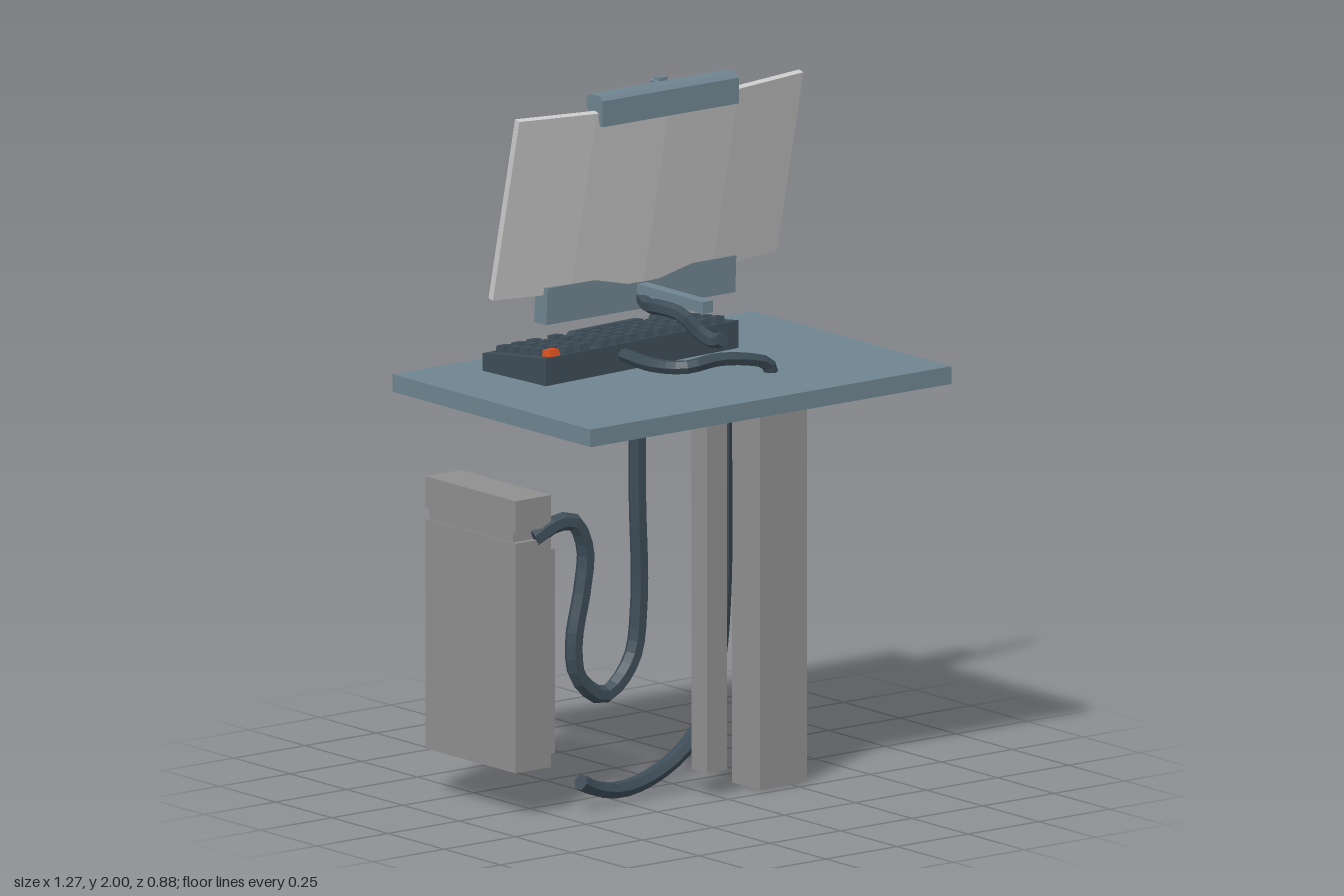
import * as THREE from 'three';

const mat = (color) => new THREE.MeshStandardMaterial({ color, flatShading: true });

export function createModel() {
  const root = new THREE.Group();
  const blue = mat(0x6f8490), dark = mat(0x3d4c57), grey = mat(0x8f8f8f), pale = mat(0xc8ccc8), orange = mat(0xd9501e);

  const add = (name, geometry, material, parent = root) => {
    const mesh = new THREE.Mesh(geometry, material);
    mesh.name = name;
    parent.add(mesh);
    return mesh;
  };
  const group = (name) => {
    const g = new THREE.Group();
    g.name = name;
    root.add(g);
    return g;
  };
  // box given by its limits on each axis
  const box = (name, [x0, x1], [y0, y1], [z0, z1], material, parent) => {
    const mesh = add(name, new THREE.BoxGeometry(x1 - x0, y1 - y0, z1 - z0), material, parent);
    mesh.position.set((x0 + x1) / 2, (y0 + y1) / 2, (z0 + z1) / 2);
    return mesh;
  };
  // (z, y) profile drawn out along x
  const prism = (name, profile, x0, x1, material, parent) => {
    const shape = new THREE.Shape(profile.map(([z, y]) => new THREE.Vector2(z, y)));
    const geo = new THREE.ExtrudeGeometry(shape, { depth: x1 - x0, bevelEnabled: false });
    geo.rotateY(-Math.PI / 2).translate(x1, 0, 0);
    return add(name, geo, material, parent);
  };
  // hexagonal cable with closed ends
  const cable = (name, points, radius, segments) => {
    const curve = new THREE.CatmullRomCurve3(points.map((p) => new THREE.Vector3(...p)));
    const g = group(name);
    add(name + 'Sleeve', new THREE.TubeGeometry(curve, segments, radius, 6), dark, g);
    [0, 1].forEach((t) => {
      const cap = add(name + 'End', new THREE.CircleGeometry(radius, 6), dark, g);
      cap.position.copy(curve.getPointAt(t));
      cap.lookAt(cap.position.clone().addScaledVector(curve.getTangentAt(t), t ? 1 : -1));
    });
  };

  // desk and its columns
  box('deskTop', [-0.635, 0.635], [1.12, 1.17], [-0.44, 0.44], blue);
  box('thickColumn', [0.14, 0.305], [0, 1.12], [0.09, 0.215], grey);
  box('thinColumn', [-0.035, 0.035], [0.07, 1.12], [0.13, 0.2], grey);

  // hanging computer tower
  const tower = group('tower');
  box('towerBody', [-0.615, -0.49], [0.13, 0.78], [-0.32, 0.08], grey, tower);
  box('towerGroove', [-0.612, -0.493], [0.775, 0.815], [-0.305, 0.065], grey, tower);
  box('towerCap', [-0.615, -0.49], [0.81, 0.9], [-0.32, 0.08], grey, tower);
  box('sidePanel', [-0.495, -0.455], [0.16, 0.74], [-0.305, 0.055], grey, tower);
  box('towerLight', [-0.576, -0.564], [0.63, 0.705], [-0.323, -0.315], orange, tower);

  // cables
  cable('towerCable', [[-0.19, 1.13, 0.085], [-0.185, 0.85, 0.08], [-0.172, 0.55, 0.07], [-0.2, 0.39, 0.07],
    [-0.3, 0.307, 0.075], [-0.39, 0.37, 0.075], [-0.405, 0.47, 0.075], [-0.375, 0.62, 0.075],
    [-0.365, 0.73, 0.075], [-0.405, 0.81, 0.075], [-0.46, 0.815, 0.07], [-0.54, 0.78, 0.065]], 0.026, 44);
  cable('floorCable', [[0.085, 1.13, 0.12], [0.087, 0.85, 0.12], [0.092, 0.55, 0.11], [0.08, 0.35, 0.1],
    [0.04, 0.2, 0.095], [-0.04, 0.11, 0.09], [-0.14, 0.055, 0.085], [-0.25, 0.035, 0.09],
    [-0.34, 0.05, 0.095], [-0.405, 0.08, 0.105]], 0.024, 32);
  cable('keyboardCable', [[-0.11, 1.215, -0.08], [-0.11, 1.21, 0.06], [-0.07, 1.215, 0.15], [0.03, 1.225, 0.165],
    [0.13, 1.215, 0.182], [0.19, 1.195, 0.185], [0.205, 1.165, 0.183]], 0.02, 20);
  cable('monitorCable', [[-0.03, 1.37, -0.1], [-0.07, 1.36, -0.01], [-0.1, 1.375, 0.07], [-0.08, 1.365, 0.14],
    [-0.045, 1.315, 0.18], [-0.025, 1.295, 0.215], [-0.02, 1.305, 0.25]], 0.022, 18);

  // keyboard: wedge case with key rows laid on its slope
  const keyboard = group('keyboard');
  keyboard.position.set(-0.048, 1.17, -0.212);
  keyboard.rotation.y = 0.063;
  prism('keyboardCase', [[-0.13, 0], [0.13, 0], [0.13, 0.078], [-0.13, 0.05]], -0.358, 0.358, dark, keyboard);
  const keys = new THREE.Group();
  keys.name = 'keys';
  keys.position.y = 0.064;
  keys.rotation.x = -0.107;
  keyboard.add(keys);
  const key = (x, z, w, material = dark) => {
    const geo = new THREE.CylinderGeometry(0.6, Math.SQRT1_2, 0.022, 4, 1).rotateY(Math.PI / 4);
    geo.scale(w, 1, 0.036);
    add('key', geo, material, keys).position.set(x, 0.008, z);
  };
  for (let row = 0; row < 5; row++) {
    const z = -0.087 + row * 0.048;
    for (let i = 0; i < 3; i++) key(-0.315 + i * 0.055, z, 0.037, row === 4 && i === 0 ? orange : dark);
    if (row === 0) {
      key(-0.125, z, 0.037);
      key(0.06, z, 0.29);
      key(0.275, z, 0.09);
    } else {
      for (let i = 0; i < 9; i++) key(-0.125 + i * 0.053, z, 0.037);
    }
  }

  // curved, tilted screen
  const screenGeo = new THREE.BoxGeometry(1, 0.54, 0.02, 4, 1, 1);
  const pos = screenGeo.attributes.position;
  for (let i = 0; i < pos.count; i++) pos.setZ(i, pos.getZ(i) - 0.16 * pos.getX(i) ** 2);
  screenGeo.computeVertexNormals();
  const screen = add('screen', screenGeo, pale);
  screen.position.set(-0.037, 1.678, -0.03);
  screen.rotation.x = 0.22;

  // lower bar with a control plate, and the arm that carries it
  prism('lowerBar', [[-0.14, 1.335], [-0.085, 1.335], [-0.08, 1.44], [-0.132, 1.44]], -0.375, 0.29, blue);
  box('controlPlate', [-0.21, -0.04], [1.345, 1.43], [-0.15, -0.13], blue);
  box('controlLight', [-0.175, -0.115], [1.395, 1.405], [-0.154, -0.148], orange);
  box('arm', [-0.058, -0.022], [1.375, 1.408], [-0.12, 0.21], blue);

  // light bar hooked over the top edge, with a camera
  prism('topBar', [[0.033, 1.905], [0.045, 1.905], [0.045, 1.978], [0.034, 1.99], [-0.014, 1.99],
    [-0.026, 1.978], [-0.026, 1.95], [-0.012, 1.94], [0.025, 1.94]], -0.28, 0.2, blue);
  box('topBarSeam', [-0.265, 0.185], [1.96, 1.966], [-0.029, -0.02], dark);
  const camera = add('camera', new THREE.CylinderGeometry(0.02, 0.02, 0.034, 6).rotateX(Math.PI / 2), blue);
  camera.position.set(-0.02, 1.979, -0.033);
  box('cameraClip', [-0.034, -0.006], [1.98, 2], [-0.04, -0.012], blue);

  return root;
}
